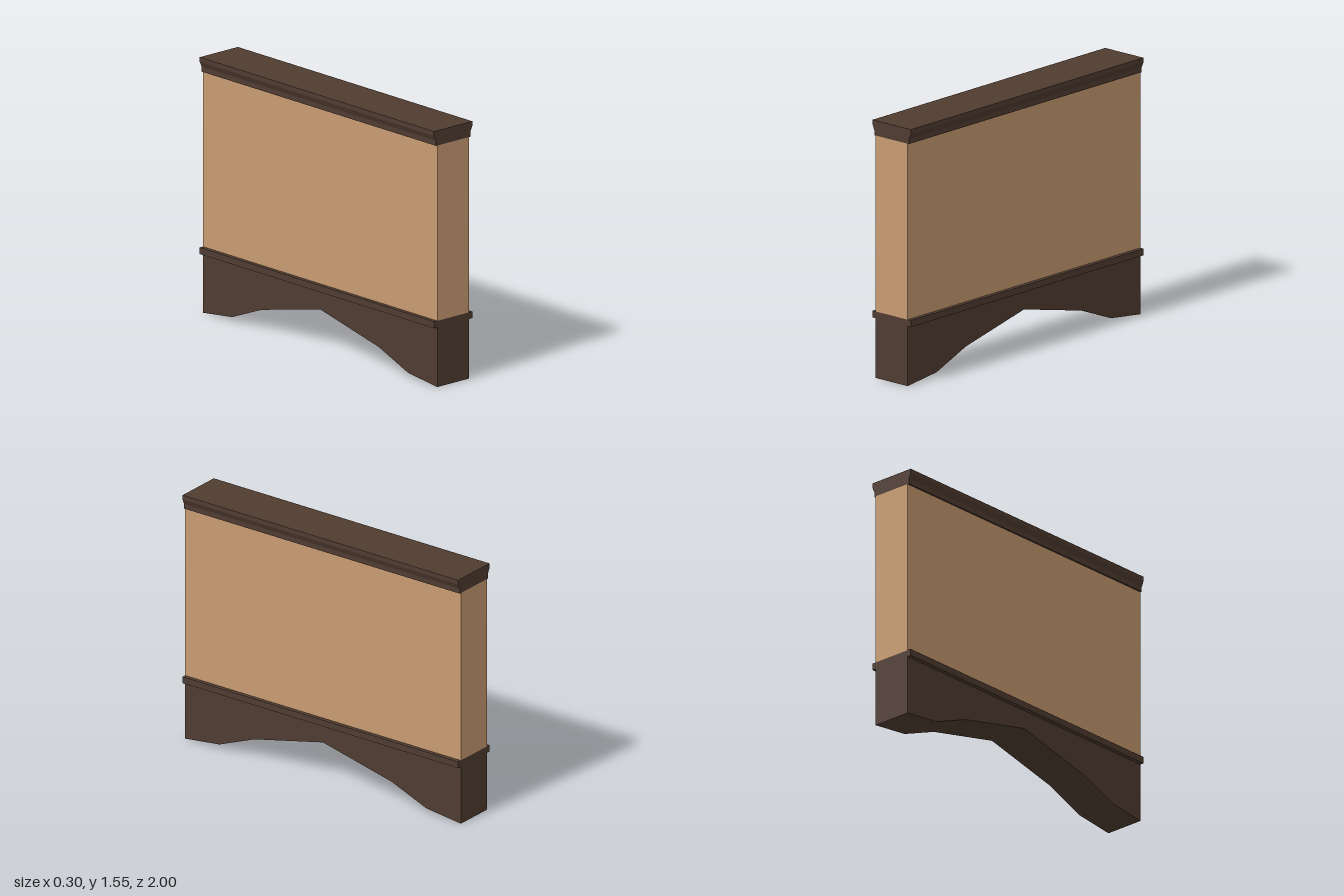
import * as THREE from 'three';

const LENGTH = 2;
const HALF_WALL = 0.125;
const HALF_TRIM = 0.15;

export function createModel() {
  const group = new THREE.Group();
  const darkWood = new THREE.MeshStandardMaterial({ color: 0x503c31, flatShading: true });
  const plaster = new THREE.MeshStandardMaterial({ color: 0xc99c72, flatShading: true });

  const add = (name, geometry, material) => {
    const mesh = new THREE.Mesh(geometry, material);
    mesh.name = name;
    group.add(mesh);
  };

  // Outline mirrored about its vertical axis, extruded and centred on depth
  const mirroredExtrusion = (half, depth) => {
    const mirrored = half.map(([a, y]) => [-a, y]).reverse();
    const points = [...half, ...mirrored].map(([a, y]) => new THREE.Vector2(a, y));
    const geometry = new THREE.ExtrudeGeometry(new THREE.Shape(points), { depth, bevelEnabled: false });
    return geometry.translate(0, 0, -depth / 2);
  };

  // Box spanning the full length between two heights
  const slab = (halfWidth, y0, y1) =>
    new THREE.BoxGeometry(halfWidth * 2, y1 - y0, LENGTH).translate(0, (y0 + y1) / 2, 0);

  // Base with a faceted arch cut from its underside
  const arch = [[0.001, 0.245], [0.5, 0.13], [0.75, 0.03], [1, 0], [1, 0.36]];
  add('archedBase', mirroredExtrusion(arch, HALF_WALL * 2).rotateY(Math.PI / 2), darkWood);

  // Ledge between base and wall
  add('ledge', slab(HALF_TRIM, 0.36, 0.4), darkWood);

  // Plain wall panel
  add('wallPanel', slab(HALF_WALL, 0.4, 1.46), plaster);

  // Moulded coping along the top
  const coping = [[0.135, 1.46], [0.135, 1.49], [HALF_TRIM, 1.523], [HALF_TRIM, 1.55]];
  add('coping', mirroredExtrusion(coping, LENGTH), darkWood);

  return group;
}
